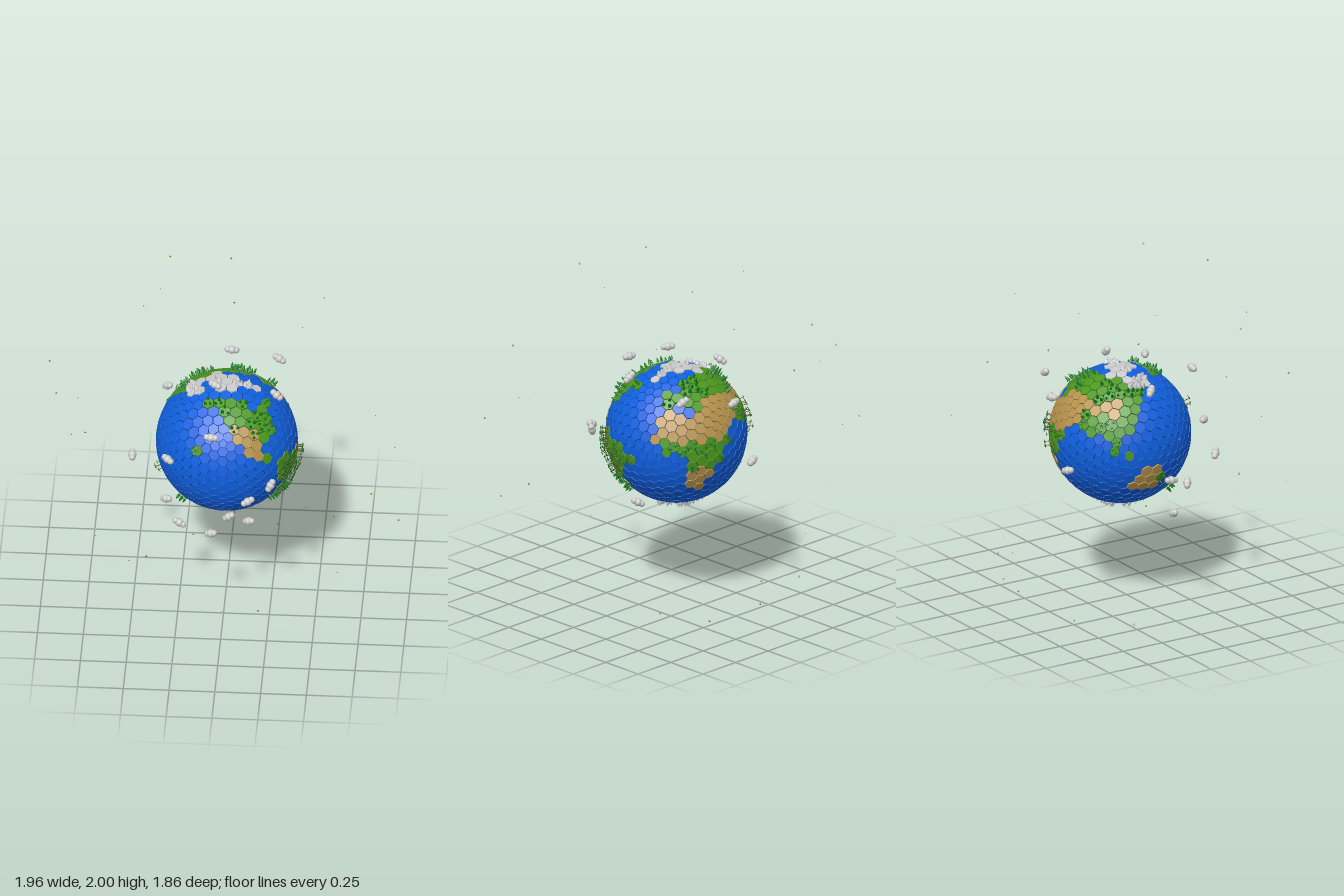
import * as THREE from 'three';
import { mergeGeometries } from 'three/addons/utils/BufferGeometryUtils.js';

const CENTER = new THREE.Vector3(0, 0.95, -0.04);
const R = 0.387;
const UP = new THREE.Vector3(0, 1, 0);
const { degToRad, radToDeg } = THREE.MathUtils;

// Coarse coastlines as lon, lat pairs
const COASTS = [
  [-166, 62, -125, 71, -82, 70, -94, 60, -78, 54, -56, 54, -80, 27, -97, 27, -80, 8, -105, 19, -124, 42, -150, 60],
  [-75, 11, -50, 1, -35, -7, -48, -27, -68, -54, -75, -48, -71, -20, -81, -5],
  [-6, 36, 32, 32, 51, 11, 38, -18, 27, -34, 18, -34, 9, 3, -8, 4, -17, 16],
  [-9, 38, 6, 58, 28, 71, 105, 77, 179, 68, 140, 55, 121, 28, 104, 2, 91, 22, 78, 8, 68, 25, 45, 13, 35, 34, 15, 42],
  [114, -23, 136, -11, 153, -27, 146, -38, 116, -34],
  [-70, 77, -20, 81, -43, 60],
];
// One-tile islands as lon, lat
const ISLANDS = [[-156, 22], [-3, 54], [138, 36], [47, -20], [173, -42], [114, 1], [141, -5]];

// Floating things as [turn from the front in degrees, height]
const LOW_CLOUDS = [[-25, 1.4], [73, 1.32], [-92, 1.29], [-41, 1.05], [34, 0.93], [5, 0.73], [38, 0.53], [-161, 0.86]];
const HIGH_CLOUDS = [[-8, 1.26], [-36, 0.84], [16, 0.9], [-9, 0.6], [-53, 0.52], [-90, 0.83], [140, 1.28], [180, 1.24]];
const STARS = [[16, 1.993], [10, 1.79], [-153, 1.67], [-178, 1.54], [-50, 1.4], [-104, 1.26], [17, 1.27], [52, 1.08],
  [-115, 0.905], [68, 0.73], [14, 0.46], [-172, 0.3], [128, 0.16], [154, 0.05], [-114, 0.013], [-154, 0.007]];

let seed = 7;
const rand = () => (seed = (seed * 16807) % 2147483647) / 2147483647;

function inside(p, lon, lat) {
  let hit = false;
  for (let i = 0, j = p.length - 2; i < p.length; j = i, i += 2) {
    if ((p[i + 1] > lat) !== (p[j + 1] > lat) &&
      lon < (p[j] - p[i]) * (lat - p[i + 1]) / (p[j + 1] - p[i + 1]) + p[i]) hit = !hit;
  }
  return hit;
}

function toLonLat(d) {
  const lon = radToDeg(Math.atan2(-d.z, d.x)) - 40;
  return [lon < -180 ? lon + 360 : lon, radToDeg(Math.asin(d.y))];
}

const islandDirections = ISLANDS.map(([lon, lat]) =>
  new THREE.Vector3().setFromSphericalCoords(1, degToRad(90 - lat), degToRad(lon + 130)));

// Point on a shell around the globe
function onShell(radius, turn, y) {
  const h = y - CENTER.y, a = degToRad(turn), flat = Math.sqrt(radius * radius - h * h);
  return new THREE.Vector3(Math.sin(a) * flat, h, Math.cos(a) * flat).add(CENTER);
}

// Which kind of ground a tile carries
function biome(d) {
  const [lon, lat] = toLonLat(d);
  const between = (v, a, b) => v > a && v < b;
  if (lat < -67 || lat > 80) return 'ice';
  if (!COASTS.some(c => inside(c, lon, lat)) && !islandDirections.some(i => i.angleTo(d) < 0.066)) return 'ocean';
  if (lat > 68 || (lat > 58 && (between(lon, -75, -18) || lon > 115))) return 'ice';
  const dry = between(lon, -122, -98) || (between(lon, -18, 72) && (lat < 38 || lon > 35)) ||
    (between(lon, 72, 108) && lat > 33) || (between(lon, 113, 144) && lat < 0);
  return dry && between(Math.abs(lat), 13, 45) ? 'sand' : 'grass';
}

// Tiles: one per vertex of a subdivided icosahedron, cornered at the face centres
function makeTiles() {
  const pos = new THREE.IcosahedronGeometry(1, 7).attributes.position;
  const tiles = new Map();
  for (let f = 0; f < pos.count; f += 3) {
    const v = [0, 1, 2].map(k => new THREE.Vector3().fromBufferAttribute(pos, f + k));
    const mid = v[0].clone().add(v[1]).add(v[2]).normalize();
    for (const p of v) {
      const key = p.toArray().map(c => Math.round(c * 50)).join();
      if (!tiles.has(key)) tiles.set(key, { dir: p, corners: [] });
      tiles.get(key).corners.push(mid);
    }
  }
  for (const { dir, corners } of tiles.values()) {
    const u = corners[0].clone().projectOnPlane(dir).normalize();
    const w = dir.clone().cross(u);
    const angle = c => Math.atan2(c.dot(w), c.dot(u));
    corners.sort((a, b) => angle(a) - angle(b));
  }
  return [...tiles.values()];
}

function pushTile(out, { dir, corners }, top) {
  const ring = (s, r) => corners.map(c => dir.clone().lerp(c, s).multiplyScalar(r).add(CENTER));
  const hi = ring(0.92, top), lo = ring(0.97, R - 0.012), n = corners.length;
  const mid = hi.reduce((a, p) => a.add(p), new THREE.Vector3()).divideScalar(n);
  for (let i = 0; i < n; i++) {
    const j = (i + 1) % n;
    for (const p of [mid, hi[i], hi[j], hi[i], lo[i], lo[j], hi[i], lo[j], hi[j]]) out.push(p.x, p.y, p.z);
  }
}

// Unit-height plants and peaks standing on y = 0
const conifer = mergeGeometries([
  new THREE.ConeGeometry(0.3, 0.6, 6).translate(0, 0.5, 0),
  new THREE.ConeGeometry(0.22, 0.5, 6).translate(0, 0.8, 0),
]);
const trunk = new THREE.CylinderGeometry(0.05, 0.08, 0.9, 5).translate(0, 0.45, 0);
const frond = new THREE.ConeGeometry(0.13, 0.6, 3).translate(0, 0.3, 0).scale(1, 1, 0.35).rotateX(1.85).translate(0, 0.92, 0);
const palm = mergeGeometries(Array.from({ length: 6 }, (_, i) => frond.clone().rotateY(i * Math.PI / 3)));
const peak = new THREE.ConeGeometry(0.6, 1, 5).translate(0, 0.45, 0);
const puff = new THREE.SphereGeometry(1, 12, 8);
const star = new THREE.OctahedronGeometry(1);

function place(list, geometry, position, up, size, spin = 0) {
  const q = new THREE.Quaternion().setFromUnitVectors(UP, up).multiply(new THREE.Quaternion().setFromAxisAngle(UP, spin));
  const m = new THREE.Matrix4().compose(position, q, new THREE.Vector3().setScalar(size));
  list.push(geometry.clone().applyMatrix4(m));
}

export function createModel() {
  const group = new THREE.Group();
  const addMesh = (name, geometry, color, flatShading = true) => {
    const mesh = new THREE.Mesh(geometry, new THREE.MeshStandardMaterial({ color, flatShading }));
    mesh.name = name;
    group.add(mesh);
  };
  const crowns = [], trunks = [], fronds = [], peaks = [], clouds = [], stars = [];

  // Ground tiles, with trees and peaks growing on them
  const ground = { ocean: [], grass: [], sand: [], ice: [] };
  for (const tile of makeTiles()) {
    const kind = biome(tile.dir);
    const top = kind === 'ocean' ? R : R + 0.004;
    pushTile(ground[kind], tile, top);
    const [lon, lat] = toLonLat(tile.dir);
    const jungle = lon > -85 && lon < -34 && lat < 10;
    const chance = { ocean: 0, grass: jungle ? 0.95 : 0.6, sand: 0.06, ice: 0.6 }[kind];
    if (rand() > chance) continue;
    for (let k = 0; k < 3; k++) {
      const corner = tile.corners[(k * 2) % tile.corners.length];
      const dir = tile.dir.clone().lerp(corner, 0.35 + 0.3 * rand()).normalize();
      const foot = dir.clone().multiplyScalar(top - 0.002).add(CENTER);
      const size = 0.026 + 0.014 * rand(), spin = rand() * 6.28;
      if (kind === 'ice') {
        place(peaks, peak, foot, dir, size * 0.8, spin);
        continue;
      }
      place(trunks, trunk, foot, dir, size, spin);
      if (Math.abs(lat) < 30) place(fronds, palm, foot, dir, size, spin);
      else place(crowns, conifer, foot, dir, size, spin);
    }
  }
  const groundColors = { ocean: 0x1060e0, grass: 0x4c981e, sand: 0xb8944e, ice: 0xcccccc };
  for (const [kind, list] of Object.entries(ground)) {
    const g = new THREE.BufferGeometry();
    g.setAttribute('position', new THREE.Float32BufferAttribute(list, 3));
    g.computeVertexNormals();
    addMesh(kind + 'Tiles', g, groundColors[kind]);
  }

  // Dark core seen in the gaps between tiles
  addMesh('core', new THREE.SphereGeometry(R - 0.01, 48, 32).translate(...CENTER.toArray()), 0x0a2a66, false);

  // Clouds: three puffs in a row along the surface
  const cloudCentres = [...LOW_CLOUDS.map(c => onShell(0.47, ...c)), ...HIGH_CLOUDS.map(c => onShell(0.53, ...c))];
  for (const p of cloudCentres) {
    const up = p.clone().sub(CENTER).normalize();
    const along = new THREE.Vector3(1, 0.3, 0.2).projectOnPlane(up).normalize().applyAxisAngle(up, rand() * 1.2 - 0.6);
    for (const k of [-1, 0, 1]) place(clouds, puff, p.clone().addScaledVector(along, k * 0.023), up, k ? 0.018 : 0.023);
  }

  // Large stars on the outer shell, small ones spiralling over an inner one
  for (const s of STARS) place(stars, star, onShell(1.06, ...s), UP, 0.007);
  for (let i = 0; i < 16; i++) place(stars, star, onShell(0.95, i * 137.5, 0.1 + i * 0.112), UP, 0.004);

  addMesh('coniferCrowns', mergeGeometries(crowns), 0x147a22);
  addMesh('treeTrunks', mergeGeometries(trunks), 0x6b4a2a);
  addMesh('palmFronds', mergeGeometries(fronds), 0x147a22);
  addMesh('icePeaks', mergeGeometries(peaks), 0xcccccc);
  addMesh('clouds', mergeGeometries(clouds), 0xcccccc, false);
  addMesh('stars', mergeGeometries(stars), 0x8f7a28);
  return group;
}
